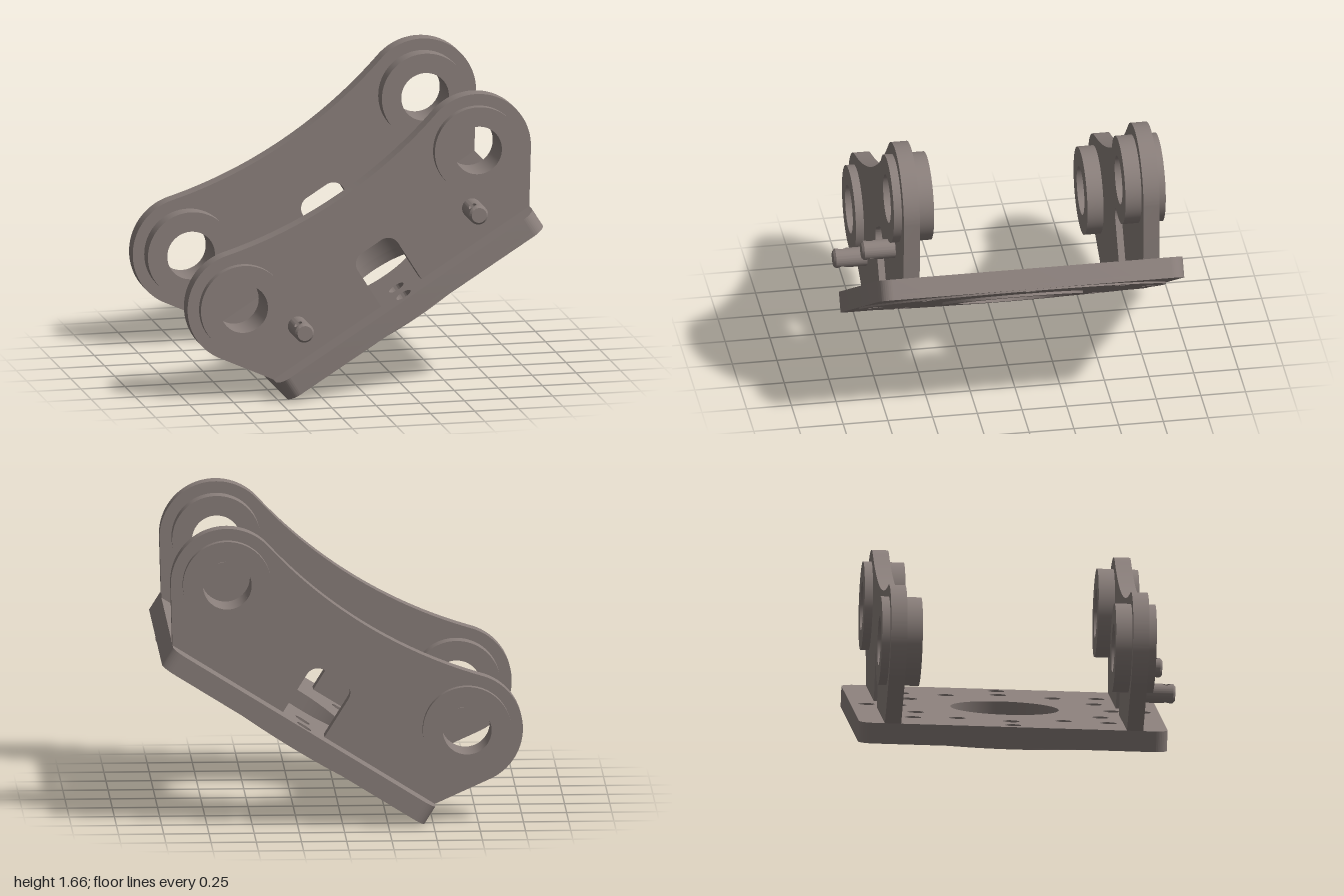
import * as THREE from 'three';
import { toCreasedNormals } from 'three/addons/utils/BufferGeometryUtils.js';

const TILT = THREE.MathUtils.degToRad(32);
const HALF = 0.855, THICK = 0.115, BLIND = 0.03; // base plate
const BOSS_X = 0.782, BOSS_Y = 0.565, BORE = 0.135;
const rad = THREE.MathUtils.degToRad;

const material = new THREE.MeshStandardMaterial({ color: 0x8a7f7b });

function part(name, geometry) {
  const mesh = new THREE.Mesh(toCreasedNormals(geometry, rad(30)), material);
  mesh.name = name;
  return mesh;
}

function circle(r, x = 0, y = 0, PathType = THREE.Path) {
  const p = new PathType();
  p.absarc(x, y, r, 0, Math.PI * 2, false);
  return p;
}

function extrude(shape, depth, curveSegments = 40) {
  return new THREE.ExtrudeGeometry(shape, { depth, curveSegments, bevelEnabled: false });
}

// Extrudes a plan shape upward between two heights
function slab(shape, y0, y1) {
  return extrude(shape, y1 - y0).rotateX(-Math.PI / 2).translate(0, y0, 0);
}

function holeRing(count, ringRadius, holeRadius) {
  return Array.from({ length: count }, (_, i) => {
    const a = (i / count) * Math.PI * 2;
    return circle(holeRadius, ringRadius * Math.cos(a), ringRadius * Math.sin(a));
  });
}

function squarePlan() {
  const s = new THREE.Shape(), h = HALF, r = 0.08;
  s.absarc(h - r, h - r, r, 0, Math.PI / 2, false);
  s.absarc(-h + r, h - r, r, Math.PI / 2, Math.PI, false);
  s.absarc(-h + r, -h + r, r, Math.PI, Math.PI * 1.5, false);
  s.absarc(h - r, -h + r, r, Math.PI * 1.5, Math.PI * 2, false);
  s.closePath();
  return s;
}

// Cheek outline: two lobes, a concave upper edge and a notch at the foot
function cheekShape() {
  const s = new THREE.Shape();
  const lobe = 0.31, R = 2.6, n = 0.135, top = 0.435, c = 0.07;
  const lean = Math.asin(BOSS_X / (R + lobe));
  const foot = rad(33.2), up = Math.PI / 2;
  s.moveTo(-HALF, THICK);
  s.lineTo(-n, THICK);
  s.absarc(-n + c, top - c, c, Math.PI, up, true);
  s.absarc(n - c, top - c, c, up, 0, true);
  s.lineTo(n, THICK);
  s.lineTo(HALF, THICK);
  s.absarc(BOSS_X, BOSS_Y, lobe, -foot, up + lean, false);
  s.absarc(0, BOSS_Y + (R + lobe) * Math.cos(lean), R, -up + lean, -up - lean, true);
  s.absarc(-BOSS_X, BOSS_Y, lobe, up - lean, Math.PI + foot, false);
  s.closePath();
  for (const x of [-BOSS_X, BOSS_X]) s.holes.push(circle(BORE, x, BOSS_Y));
  return s;
}

// Round pin along z with a chamfered end and a cross-drilled hole along y
function pinGeometry(r, z0, z1, zc, holeR) {
  const edge = Math.acos(holeR / r), pos = [], ch = 0.012;
  const angles = [edge, Math.PI - edge, Math.PI + edge, 2 * Math.PI - edge];
  for (let i = 0; i <= 60; i++) angles.push((i / 60) * Math.PI * 2);
  angles.sort((a, b) => a - b);
  const tri = (...pts) => pts.forEach((p) => pos.push(...p));
  const quad = (a, b, c, d) => { tri(a, b, c); tri(a, c, d); };
  const at = (a, z, q = r) => [q * Math.cos(a), q * Math.sin(a), z];
  const gap = (a) => Math.sqrt(Math.max(0, holeR ** 2 - (r * Math.cos(a)) ** 2));
  for (let i = 0; i < angles.length - 1; i++) {
    const a = angles[i], b = angles[i + 1], ga = gap(a), gb = gap(b);
    if (b - a < 1e-6) continue;
    // barrel on both sides of the hole
    quad(at(a, z0), at(b, z0), at(b, zc - gb), at(a, zc - ga));
    quad(at(a, zc + ga), at(b, zc + gb), at(b, z1 - ch), at(a, z1 - ch));
    // chamfer and end face
    quad(at(a, z1 - ch), at(b, z1 - ch), at(b, z1, r - ch), at(a, z1, r - ch));
    tri(at(a, z1, r - ch), at(b, z1, r - ch), [0, 0, z1]);
    // wall of the hole
    if (b <= Math.PI && ga + gb > 1e-6) {
      quad(at(a, zc - ga), at(b, zc - gb), at(-b, zc - gb), at(-a, zc - ga));
      quad(at(a, zc + ga), at(-a, zc + ga), at(-b, zc + gb), at(b, zc + gb));
    }
  }
  const g = new THREE.BufferGeometry();
  g.setAttribute('position', new THREE.Float32BufferAttribute(pos, 3));
  g.computeVertexNormals();
  return g;
}

export function createModel() {
  const model = new THREE.Group();
  model.name = 'tiltedBracket';
  const body = new THREE.Group();
  body.name = 'bracketBody';
  body.position.set(0.275, 0.458, -0.0225);
  body.rotation.z = TILT;
  model.add(body);

  // Base plate: the upper layer also carries a ring of blind holes
  const through = () => [circle(0.3), ...holeRing(8, 0.765, 0.046)];
  const lower = squarePlan();
  lower.holes.push(...through());
  const upper = squarePlan();
  upper.holes.push(...through(), ...holeRing(12, 0.59, 0.046));
  body.add(part('basePlateLower', slab(lower, 0, BLIND)));
  body.add(part('basePlateUpper', slab(upper, BLIND, THICK)));

  // Raised mounting face and centring ring underneath
  const face = circle(0.85, 0, 0, THREE.Shape);
  face.holes.push(...through());
  body.add(part('mountingFace', slab(face, -0.01, 0)));
  const collar = circle(0.39, 0, 0, THREE.Shape);
  collar.holes.push(circle(0.3));
  body.add(part('centringRing', slab(collar, -0.024, -0.01)));

  // Side cheeks with bored bosses, mirrored front to back
  const boss = circle(0.245, 0, 0, THREE.Shape);
  boss.holes.push(circle(BORE));
  for (const [side, sign] of [['front', 1], ['back', -1]]) {
    const cheek = part(side + 'Cheek', extrude(cheekShape(), 0.09));
    cheek.position.z = sign * 0.67 - 0.045;
    body.add(cheek);
    for (const x of [-BOSS_X, BOSS_X]) {
      const b = part(side + (x < 0 ? 'LowerBoss' : 'UpperBoss'), extrude(boss, 0.225));
      b.position.set(x, BOSS_Y, sign * 0.6475 - 0.1125);
      body.add(b);
    }
  }

  // Cross-drilled pins on the front cheek
  for (const x of [-0.582, 0.582]) {
    const pin = part(x < 0 ? 'lowerPin' : 'upperPin', pinGeometry(0.054, 0.7, 0.9, 0.85, 0.025));
    pin.position.set(x, 0.295, 0);
    body.add(pin);
  }
  return model;
}
